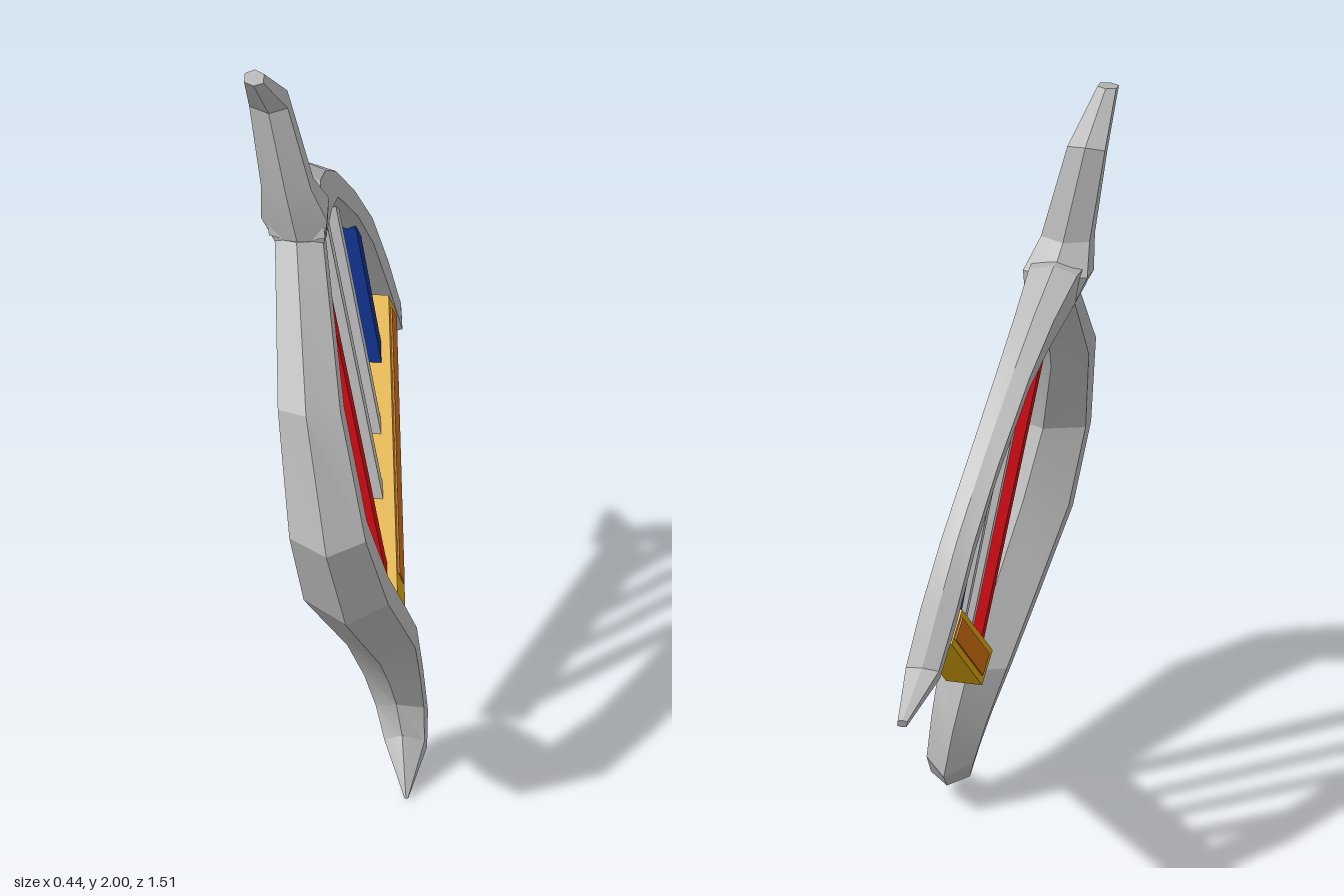
import * as THREE from 'three';
import { toCreasedNormals } from 'three/addons/utils/BufferGeometryUtils.js';

// The whole harp leans sideways: x shifts with height
const LEAN = -0.19, BASE = 0.18;
const lean = new THREE.Matrix4().set(1, LEAN, 0, BASE, 0, 1, 0, 0, 0, 0, 1, 0, 0, 0, 0, 1);

const mat = (name, color) => {
  const m = new THREE.MeshStandardMaterial({ color });
  m.name = name;
  return m;
};

// Six-sided limb. Each station: outer z, y, inner z, y, half thickness in x.
// f0 and f1 set where the flat side faces begin and end between the two ridges.
function limb(name, stations, f0, f1, material) {
  const pos = [], idx = [];
  for (const [az, ay, bz, by, t] of stations) {
    for (const [f, s] of [[0, 0], [f0, 1], [f1, 1], [1, 0], [f1, -1], [f0, -1]]) {
      pos.push(s * t, ay + (by - ay) * f, az + (bz - az) * f);
    }
  }
  const last = (stations.length - 1) * 6;
  for (let i = 0; i < last; i += 6) {
    for (let j = 0; j < 6; j++) {
      const k = (j + 1) % 6;
      idx.push(i + j, i + k, i + 6 + j, i + k, i + 6 + k, i + 6 + j);
    }
  }
  for (let j = 1; j < 5; j++) idx.push(0, j + 1, j, last, last + j, last + j + 1);
  const g = new THREE.BufferGeometry();
  g.setAttribute('position', new THREE.Float32BufferAttribute(pos, 3));
  g.setIndex(idx);
  g.applyMatrix4(lean);
  const mesh = new THREE.Mesh(toCreasedNormals(g, 0.4), material);
  mesh.name = name;
  return mesh;
}

// Straight bar between two (z, y) points
function bar(name, [z0, y0], [z1, y1], width, depth, material) {
  const g = new THREE.BoxGeometry(width, Math.hypot(z1 - z0, y1 - y0), depth);
  g.rotateX(Math.atan2(z1 - z0, y1 - y0));
  g.translate(0, (y0 + y1) / 2, (z0 + z1) / 2);
  g.applyMatrix4(lean);
  const mesh = new THREE.Mesh(g, material);
  mesh.name = name;
  return mesh;
}

export function createModel() {
  const grey = mat('frameGrey', 0xb8b8b8);
  const silver = mat('stringSilver', 0xc4c4c4);
  const gold = mat('gold', 0xd9a60f);
  const orange = mat('orange', 0xd0700f);
  const red = mat('red', 0xd80c14);
  const blue = mat('blue', 0x0f3290);
  const harp = new THREE.Group();
  harp.name = 'harp';

  // Bowed front pillar with its curled foot
  harp.add(limb('pillar', [
    [0.405, 0.005, 0.395, 0.0, 0.004],
    [0.29, 0.12, 0.24, 0.05, 0.05],
    [0.28, 0.2, 0.155, 0.12, 0.06],
    [0.31, 0.27, 0.14, 0.26, 0.07],
    [0.375, 0.36, 0.175, 0.42, 0.085],
    [0.53, 0.49, 0.32, 0.57, 0.095],
    [0.695, 0.63, 0.49, 0.74, 0.105],
    [0.76, 0.85, 0.56, 0.91, 0.095],
    [0.645, 1.18, 0.47, 1.14, 0.078],
    [0.31, 1.49, 0.19, 1.45, 0.06],
  ], 0.3, 0.65, grey));

  // Horn rising from the top joint
  harp.add(limb('horn', [
    [0.3, 1.47, 0.18, 1.46, 0.06],
    [0.31, 1.53, 0.16, 1.57, 0.082],
    [0.32, 1.63, 0.215, 1.64, 0.062],
    [0.32, 1.85, 0.245, 1.9, 0.048],
    [0.435, 1.985, 0.375, 2.0, 0.024],
  ], 0.2, 0.75, grey));

  // Curved neck with the tail at its lower end
  harp.add(limb('neck', [
    [0.27, 1.58, 0.29, 1.48, 0.07],
    [0.15, 1.61, 0.19, 1.45, 0.062],
    [0, 1.555, 0.04, 1.425, 0.05],
    [-0.155, 1.465, -0.1, 1.395, 0.043],
    [-0.345, 1.315, -0.31, 1.235, 0.04],
    [-0.49, 1.165, -0.42, 1.1, 0.042],
    [-0.56, 1.01, -0.49, 0.92, 0.045],
    [-0.615, 0.865, -0.55, 0.8, 0.042],
    [-0.755, 0.79, -0.745, 0.765, 0.012],
  ], 0.14, 0.86, grey));

  // Soundboard with inlaid side panels
  harp.add(bar('soundboard', [0.18, 0.432], [-0.485, 0.918], 0.092, 0.09, gold));
  harp.add(bar('soundboardInlay', [0.125, 0.472], [-0.465, 0.903], 0.1, 0.056, orange));

  // Strings, front to back
  const strings = [
    ['redString', [0.16, 0.44], [0.14, 1.48], 0.044, red],
    ['frontSilverString', [-0.02, 0.56], [-0.045, 1.43], 0.034, silver],
    ['backSilverString', [-0.163, 0.67], [-0.2, 1.35], 0.034, silver],
    ['blueString', [-0.325, 0.79], [-0.368, 1.2], 0.046, blue],
  ];
  for (const [name, a, b, w, m] of strings) harp.add(bar(name, a, b, w, w, m));

  return harp;
}
